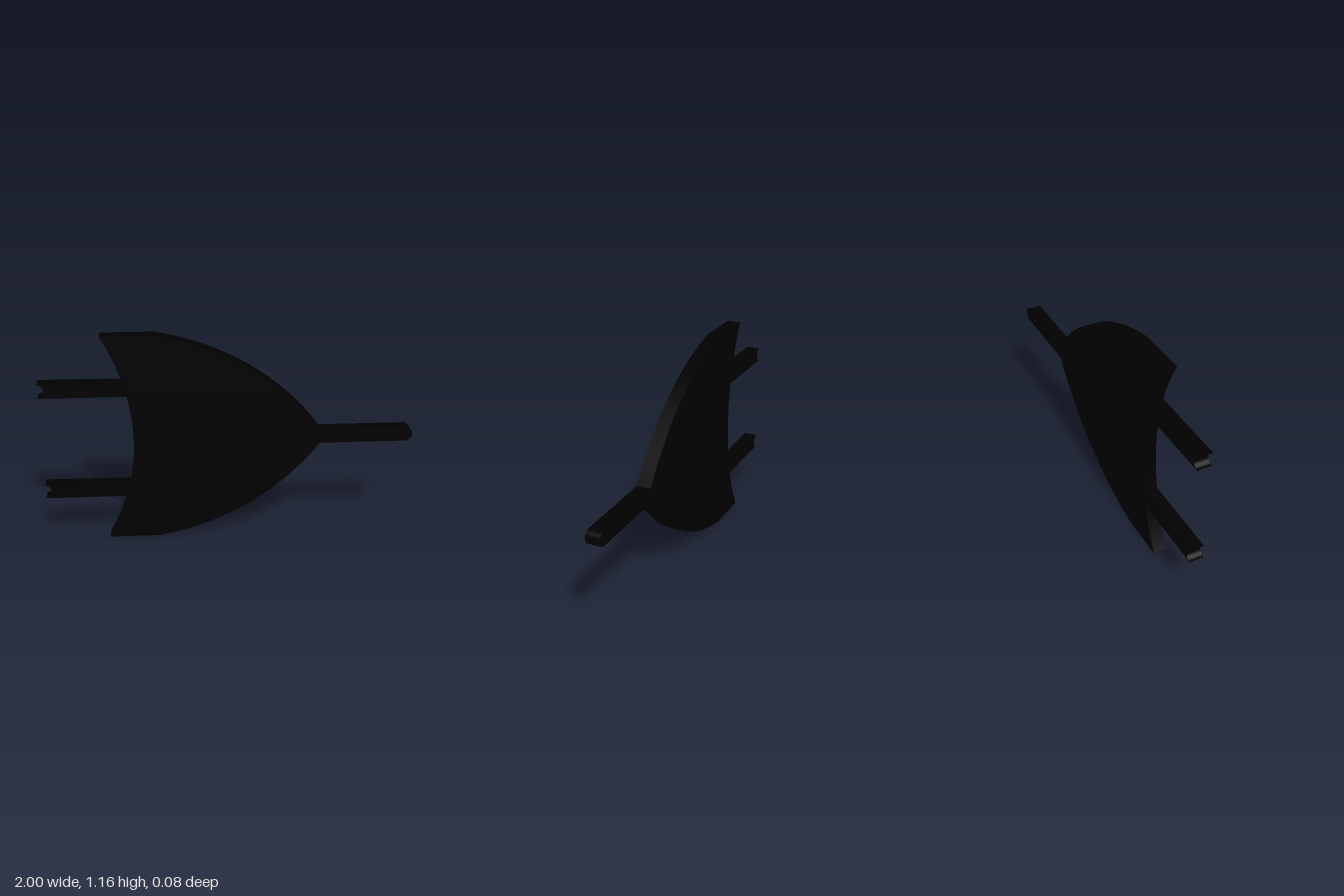
import * as THREE from 'three';

const DEPTH = 0.076, MID = 0.582, R = 0.0385;
const material = new THREE.MeshStandardMaterial({ color: 0x000000 });

// Flat plate cut from a shape, centred on z = 0
function plate(name, shape, y) {
  const geometry = new THREE.ExtrudeGeometry(shape, { depth: DEPTH, bevelEnabled: false, curveSegments: 24 });
  geometry.translate(0, y, -DEPTH / 2);
  const mesh = new THREE.Mesh(geometry, material);
  mesh.name = name;
  return mesh;
}

// Shield-shaped body: concave back, bowed sides meeting at the output
function bodyShape() {
  const shape = new THREE.Shape();
  const cx = -0.615, cy = -0.777, r = 1.377; // bow circle, relative to the middle line
  const a0 = Math.atan2(-MID - -cy, -0.37 - cx);
  const a1 = Math.atan2(-R - -cy, 0.495 - cx);
  const backX = -1.693, backR = 1.183;
  const b = Math.asin(MID / backR);
  shape.moveTo(-0.663, -MID);
  shape.lineTo(-0.37, -MID);
  shape.absarc(cx, -cy, r, a0, a1, false);
  shape.lineTo(0.495, -R);
  shape.lineTo(0.495, R);
  shape.absarc(cx, cy, r, -a1, -a0, false);
  shape.lineTo(-0.37, MID);
  shape.lineTo(-0.663, MID);
  shape.absarc(backX, 0, backR, b, -b, true);
  return shape;
}

// Input bar with a round notch in its free end
function inputShape() {
  const shape = new THREE.Shape();
  shape.moveTo(-1, -R);
  shape.lineTo(-0.53, -R);
  shape.lineTo(-0.53, R);
  shape.lineTo(-1, R);
  shape.absellipse(-1, 0, 0.034, R - 0.002, Math.PI / 2, -Math.PI / 2, true);
  return shape;
}

// Output bar with a rounded free end
function outputShape() {
  const shape = new THREE.Shape();
  shape.moveTo(0.495, -R);
  shape.lineTo(1 - R, -R);
  shape.absarc(1 - R, 0, R, -Math.PI / 2, Math.PI / 2, false);
  shape.lineTo(0.495, R);
  return shape;
}

export function createModel() {
  const group = new THREE.Group();
  group.name = 'gate';
  group.add(plate('body', bodyShape(), MID));
  group.add(plate('upperInput', inputShape(), MID + 0.291));
  group.add(plate('lowerInput', inputShape(), MID - 0.291));
  group.add(plate('output', outputShape(), MID));
  return group;
}
